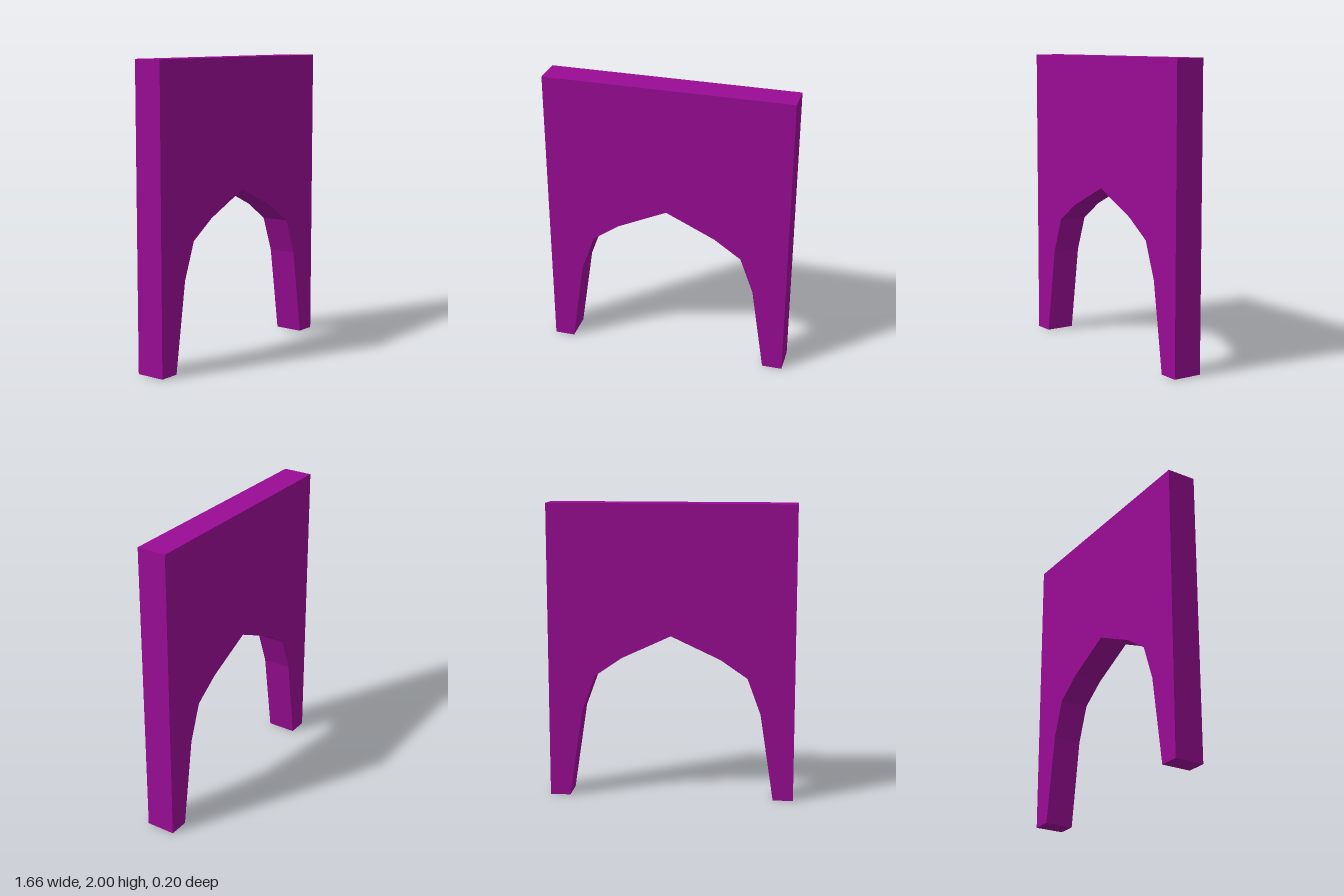
import * as THREE from 'three';

const WIDTH = 1.664, HEIGHT = 2, DEPTH = 0.2;

// Half of the arch opening, from the foot up to the crown
const ARCH = [[0.695, 0], [0.605, 0.595], [0.515, 0.84], [0.333, 0.965], [0, 1.12]];

export function createModel() {
  const group = new THREE.Group();
  group.name = 'archway';

  // Wall outline, with the faceted arch mirrored about the centre
  const mirrored = ARCH.slice(0, -1).reverse().map(([x, y]) => [-x, y]);
  const outline = [
    ...ARCH, ...mirrored,
    [-WIDTH / 2, 0], [-WIDTH / 2, HEIGHT], [WIDTH / 2, HEIGHT], [WIDTH / 2, 0],
  ].map(([x, y]) => new THREE.Vector2(x, y));

  const geometry = new THREE.ExtrudeGeometry(new THREE.Shape(outline), {
    depth: DEPTH, bevelEnabled: false,
  });
  geometry.translate(0, 0, -DEPTH / 2);

  const wall = new THREE.Mesh(
    geometry,
    new THREE.MeshStandardMaterial({ color: 0x990c94, flatShading: true }),
  );
  wall.name = 'archedWall';
  group.add(wall);
  return group;
}
